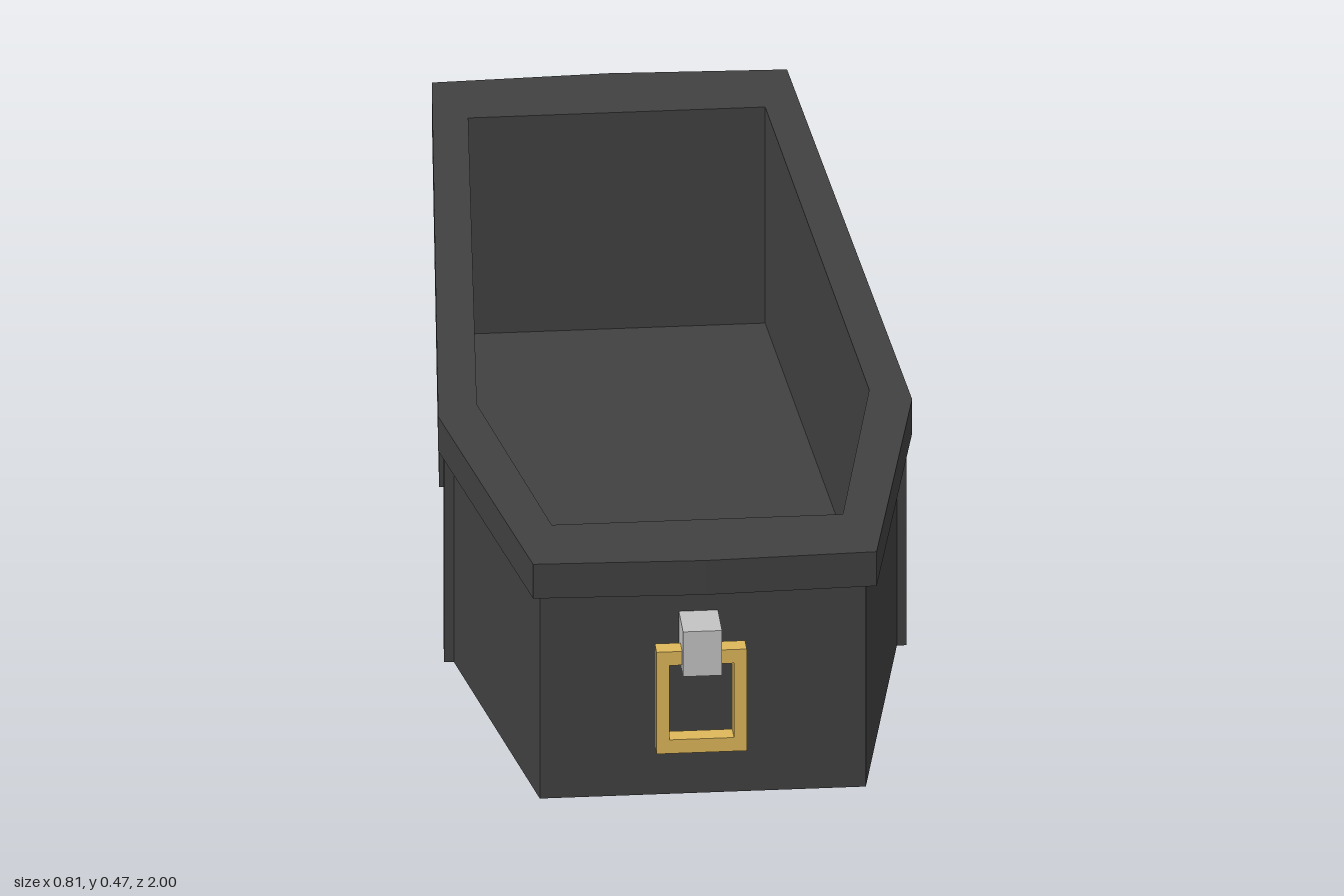
import * as THREE from 'three';

// Plan outlines as [x, z] on the +x side, from front to back
const BODY = [[0.28, 0.918], [0.383, 0.352], [0.29, -0.918]];
const RIM = [[0, 0.97], [0.295, 0.96], [0.407, 0.363], [0.305, -0.957], [0, -0.968]];
const CAVITY = [[0.25, 0.807], [0.337, 0.32], [0.255, -0.812]];

// Mirrors a half outline across x = 0 into a closed counter-clockwise list of points
function outline(half) {
  const left = half.map(([x, z]) => new THREE.Vector2(x, -z));
  const right = half.filter(([x]) => x > 0).reverse().map(([x, z]) => new THREE.Vector2(-x, -z));
  return left.concat(right);
}

// Upright slab between two heights, optionally hollow
function slab(half, y0, y1, hole) {
  const shape = new THREE.Shape(outline(half));
  if (hole) shape.holes.push(new THREE.Path(outline(hole).reverse()));
  const geometry = new THREE.ExtrudeGeometry(shape, { depth: y1 - y0, bevelEnabled: false });
  return geometry.rotateX(-Math.PI / 2).translate(0, y0, 0);
}

// Corner points of a rectangle
function rectangle(x0, y0, x1, y1) {
  return [[x0, y0], [x1, y0], [x1, y1], [x0, y1]].map(([x, y]) => new THREE.Vector2(x, y));
}

export function createModel() {
  const model = new THREE.Group();
  model.name = 'openCoffin';
  const wood = new THREE.MeshStandardMaterial({ name: 'charcoalWood', color: 0x414141 });
  const gold = new THREE.MeshStandardMaterial({ name: 'gold', color: 0xdeb85a });
  const steel = new THREE.MeshStandardMaterial({ name: 'steel', color: 0xc4c4c4 });

  function add(name, geometry, material, parent = model) {
    const mesh = new THREE.Mesh(geometry, material);
    mesh.name = name;
    parent.add(mesh);
    return mesh;
  }

  // Hollow box: base, walls and overhanging rim
  add('base', slab(BODY, 0, 0.055), wood);
  add('walls', slab(BODY, 0.055, 0.4, CAVITY), wood);
  add('rim', slab(RIM, 0.4, 0.465, CAVITY), wood);

  // Upright battens lying along the long side walls
  const [, middle, back] = BODY;
  const slope = (middle[0] - back[0]) / (middle[1] - back[1]);
  for (const side of [1, -1]) {
    for (const [z, width] of [[0.337, 0.059], [-0.36, 0.068]]) {
      const batten = add('sideBatten', new THREE.BoxGeometry(0.026, 0.4, width), wood);
      batten.position.set(side * (middle[0] + (z - middle[1]) * slope), 0.2, z);
      batten.rotation.y = side * Math.atan(slope);
    }
  }

  // Square ring handle hanging from a block at each end
  const ring = new THREE.Shape(rectangle(-0.085, 0.107, 0.07, 0.3));
  ring.holes.push(new THREE.Path(rectangle(-0.063, 0.133, 0.048, 0.274)));
  for (const end of [1, -1]) {
    const handle = new THREE.Group();
    handle.name = end > 0 ? 'frontHandle' : 'backHandle';
    model.add(handle);
    const ringGeometry = new THREE.ExtrudeGeometry(ring, { depth: 0.034, bevelEnabled: false });
    add('ring', ringGeometry, gold, handle).position.z = end * 0.965 - 0.017;
    add('bracket', new THREE.BoxGeometry(0.067, 0.085, 0.085), steel, handle)
      .position.set(-0.0075, 0.303, end * 0.9575);
  }
  return model;
}
